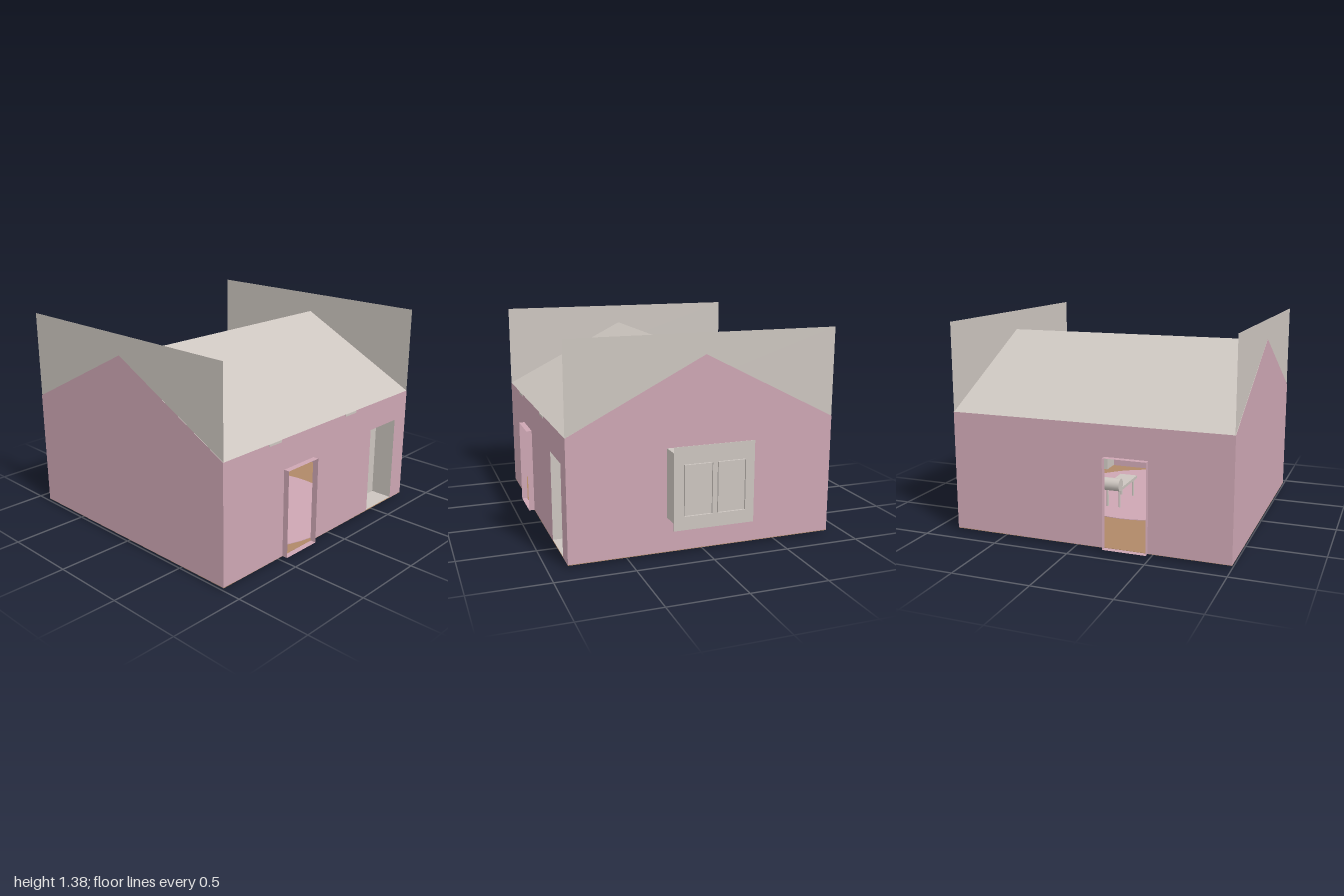
import * as THREE from 'three';

const mat = (name, color) => {
  const m = new THREE.MeshStandardMaterial({ color, side: THREE.DoubleSide });
  m.name = name;
  return m;
};

export function createModel() {
  const pink = mat('pink plaster', 0xcda6b3);
  const grey = mat('warm grey', 0xccc5bf);
  const tan = mat('tan floor', 0xb08868);
  const brown = mat('brown wood', 0x7a4f3c);
  const house = new THREE.Group();
  house.name = 'house';

  const X0 = -1, X1 = 0.835, Z = 0.877, BASE = 0.02, EAVE = 0.8, RIDGE = 1.24, TOP = 1.375;
  const MID = (X0 + X1) / 2, LEN = X1 - X0;

  const add = (name, geo, material, x = 0, y = 0, z = 0, parent = house) => {
    const m = new THREE.Mesh(geo, material);
    m.name = name;
    m.position.set(x, y, z);
    parent.add(m);
    return m;
  };
  const outline = (pts, T = THREE.Shape) => new T(pts.map(([x, y]) => new THREE.Vector2(x, y)));
  const rect = (a, b, c, d) => [[a, c], [b, c], [b, d], [a, d]];
  // Open four-sided sleeve running along z
  const sleeve = (name, w, h, d, material, x, y, z, parent = house) => {
    const g = new THREE.Group();
    g.name = name;
    g.position.set(x, y, z);
    parent.add(g);
    for (const s of [-1, 1]) {
      add('side', new THREE.PlaneGeometry(d, h).rotateY(s * Math.PI / 2), material, s * w / 2, 0, 0, g);
      add('edge', new THREE.PlaneGeometry(w, d).rotateX(-s * Math.PI / 2), material, 0, s * h / 2, 0, g);
    }
    return g;
  };

  // Long walls with their openings
  const door = rect(-0.48, -0.2, BASE, 0.6);
  const alcove = rect(0.415, 0.705, BASE, 0.615);
  for (const s of [1, -1]) {
    const wall = outline(rect(X0, X1, BASE, EAVE));
    wall.holes.push(outline(door, THREE.Path));
    if (s > 0) wall.holes.push(outline(alcove, THREE.Path));
    add(s > 0 ? 'frontWall' : 'backWall', new THREE.ShapeGeometry(wall), pink, 0, 0, s * Z);
    sleeve('doorFrame', 0.28, 0.58, 0.04, pink, -0.34, 0.31, s * (Z + 0.018));
  }

  // Gable walls and the tall thin panels rising behind them
  const gable = outline([[-Z, BASE], [Z, BASE], [Z, EAVE], [0, RIDGE + 0.005], [-Z, EAVE]]);
  for (const [x, inward] of [[X0, 1], [X1, -1]]) {
    add('gableWall', new THREE.ShapeGeometry(gable).rotateY(Math.PI / 2), pink, x);
    add('gablePanel', new THREE.PlaneGeometry(2 * Z, TOP - EAVE).rotateY(Math.PI / 2), grey,
      x + inward * 0.003, (TOP + EAVE) / 2, 0);
  }

  // Roof slopes
  const rise = RIDGE - EAVE;
  for (const s of [1, -1]) {
    const slope = add('roofSlope', new THREE.PlaneGeometry(LEN, Math.hypot(Z, rise)), grey,
      MID, (RIDGE + EAVE) / 2, s * Z / 2);
    slope.rotation.x = -s * Math.atan2(Z, rise);
    if (s < 0) slope.rotation.x += Math.PI;
  }

  // Floor and round rug
  add('floor', new THREE.BoxGeometry(LEN, 0.004, 2 * Z), tan, MID, BASE, 0);
  add('rug', new THREE.CylinderGeometry(0.61, 0.61, 0.004, 48), pink, -0.1, BASE + 0.005, 0.25);

  // Shallow alcove in the front wall
  sleeve('alcoveLining', 0.29, 0.59, 0.15, grey, 0.56, 0.32, Z - 0.075);
  add('alcoveBack', new THREE.PlaneGeometry(0.29, 0.59), grey, 0.56, 0.32, Z - 0.15);
  add('alcoveSeam', new THREE.BoxGeometry(0.006, 0.59, 0.006), grey, 0.56, 0.32, Z - 0.147);

  // Bay window: box, oversized face plate and two open pane frames
  add('bayBox', new THREE.BoxGeometry(0.15, 0.44, 0.5), grey, 0.91, 0.465, 0);
  add('bayFace', new THREE.BoxGeometry(0.003, 0.52, 0.524), grey, 0.985, 0.47, 0);
  for (const s of [1, -1]) {
    const pane = sleeve('paneFrame', 0.18, 0.32, 0.014, grey, 0.993, 0.46, s * 0.108);
    pane.rotation.y = Math.PI / 2;
  }

  // Small brackets under the front eave
  for (const x of [-0.565, 0.175])
    add('eaveBracket', new THREE.BoxGeometry(0.11, 0.014, 0.008), grey, x, 0.793, Z);

  // Bench with a rolled cushion; its legs reach the ground
  const bench = new THREE.Group();
  bench.name = 'bench';
  house.add(bench);
  for (const x of [-0.02, 0.07])
    for (const z of [-0.14, 0.14])
      add('benchLeg', new THREE.CylinderGeometry(0.008, 0.008, 0.16, 8), grey, x, 0.08, z, bench);
  add('benchSeat', new THREE.BoxGeometry(0.13, 0.02, 0.34), grey, 0.025, 0.165, 0, bench);
  add('benchRoll', new THREE.CylinderGeometry(0.045, 0.045, 0.13, 20).rotateZ(Math.PI / 2), grey,
    0.025, 0.2, -0.17, bench);

  // Side table with curved wooden rails
  const table = new THREE.Group();
  table.name = 'sideTable';
  table.position.set(-0.72, BASE, 0.35);
  house.add(table);
  add('tableTop', new THREE.BoxGeometry(0.24, 0.02, 0.24), grey, 0, 0.3, 0, table);
  for (const x of [-0.1, 0.1])
    for (const z of [-0.1, 0.1])
      add('tableLeg', new THREE.BoxGeometry(0.02, 0.3, 0.02), grey, x, 0.15, z, table);
  for (const y of [0.12, 0.2])
    add('woodRail', new THREE.TorusGeometry(0.11, 0.009, 8, 28).rotateX(Math.PI / 2), brown, 0, y, 0, table);

  return house;
}
